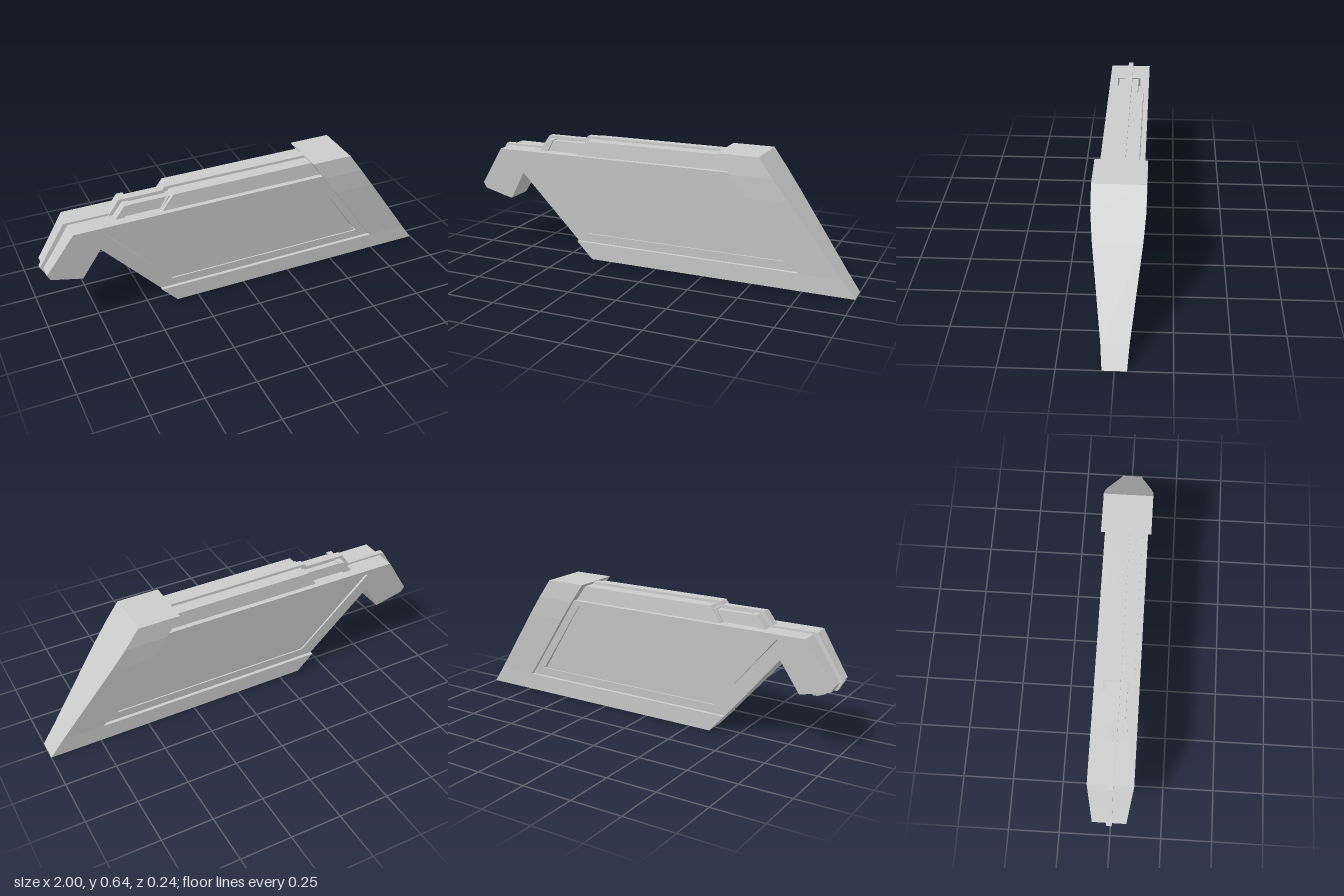
import * as THREE from 'three';

const material = new THREE.MeshStandardMaterial({ color: 0xcccccc, flatShading: true });

// Half thickness of the body and of the thicker frame, by height
const bodyHalf = (y) => 0.045 + (y - 0.09) * 0.1304;
const FRAME = [[0, 0.054], [0.09, 0.062], [0.44, 0.11], [0.545, 0.12], [0.64, 0.12]];
function frameHalf(y) {
  let i = 1;
  while (i < FRAME.length - 1 && y > FRAME[i][0]) i++;
  const [y0, h0] = FRAME[i - 1], [y1, h1] = FRAME[i];
  return h0 + (h1 - h0) * (y - y0) / (y1 - y0);
}

// Solid slab from rows [y, left x, right x], rising in y, with half thickness half(y)
function slab(name, rows, half) {
  const rings = rows.map(([y, l, r]) => {
    const h = half(y);
    return [[l, y, h], [r, y, h], [r, y, -h], [l, y, -h]];
  });
  const pos = [];
  const quad = (a, b, c, d) => pos.push(...a, ...b, ...c, ...a, ...c, ...d);
  for (let i = 0; i < rings.length - 1; i++) {
    const a = rings[i], b = rings[i + 1];
    for (let k = 0; k < 4; k++) {
      const n = (k + 1) % 4;
      quad(a[k], a[n], b[n], b[k]);
    }
  }
  const bottom = rings[0], top = rings[rings.length - 1];
  quad(bottom[3], bottom[2], bottom[1], bottom[0]);
  quad(top[0], top[1], top[2], top[3]);
  const geo = new THREE.BufferGeometry();
  geo.setAttribute('position', new THREE.Float32BufferAttribute(pos, 3));
  geo.computeVertexNormals();
  const mesh = new THREE.Mesh(geo, material);
  mesh.name = name;
  return mesh;
}

export function createModel() {
  const model = new THREE.Group();
  model.name = 'slantedCasing';
  const add = (name, rows, half) =>
    model.add(slab(name, rows, typeof half === 'number' ? () => half : half));

  // Thick L-shaped frame
  add('bottomFrame', [[0, -0.36, 1], [0.09, -0.44, 0.935]], frameHalf);
  add('endFrame', [[0.09, 0.73, 0.935], [0.44, 0.478, 0.684], [0.545, 0.403, 0.608], [0.64, 0.335, 0.54]], frameHalf);

  // Recessed panel on both faces, surrounded by a raised rim
  add('recessedPanel', [[0.11, -0.36, 0.66], [0.535, -0.72, 0.365]], (y) => bodyHalf(y) - 0.007);
  add('lowerRim', [[0.09, -0.44, 0.735], [0.135, -0.478, 0.70]], bodyHalf);
  add('leftRim', [[0.135, -0.478, -0.38], [0.43, -0.73, -0.637], [0.525, -0.73, -0.72]], bodyHalf);
  add('rightRim', [[0.135, 0.65, 0.70], [0.525, 0.37, 0.42]], bodyHalf);
  add('upperRim', [[0.525, -0.867, 0.42], [0.55, -0.85, 0.40]], bodyHalf);

  // Downturned arm with a centre rib
  add('arm', [[0.28, -0.822, -0.82], [0.32, -0.97, -0.796], [0.35, -0.985, -0.778],
    [0.43, -0.93, -0.73], [0.525, -0.867, -0.73]], bodyHalf);
  add('armRib', [[0.31, -0.975, -0.93], [0.355, -1, -0.85], [0.56, -0.87, -0.6]], 0.013);

  // Six-sided stud under the arm
  const stud = new THREE.Mesh(new THREE.CylinderGeometry(0.042, 0.036, 0.03, 6), material);
  stud.name = 'armStud';
  stud.position.set(-0.89, 0.292, 0);
  stud.rotation.z = -0.26;
  model.add(stud);

  // Stepped top: small block with end collars, then the long top housing
  add('topBlock', [[0.545, -0.645, -0.37], [0.605, -0.595, -0.37]], 0.05);
  add('frontCollar', [[0.545, -0.645, -0.60], [0.61, -0.595, -0.565]], 0.06);
  add('rearCollar', [[0.545, -0.425, -0.385], [0.612, -0.385, -0.362]], 0.062);
  add('blockRib', [[0.545, -0.665, -0.36], [0.622, -0.61, -0.36]], 0.018);
  add('topHousing', [[0.545, -0.425, 0.41], [0.625, -0.365, 0.35]], 0.08);
  add('housingRib', [[0.6, -0.415, 0.37], [0.638, -0.388, 0.345]], 0.018);

  return model;
}
